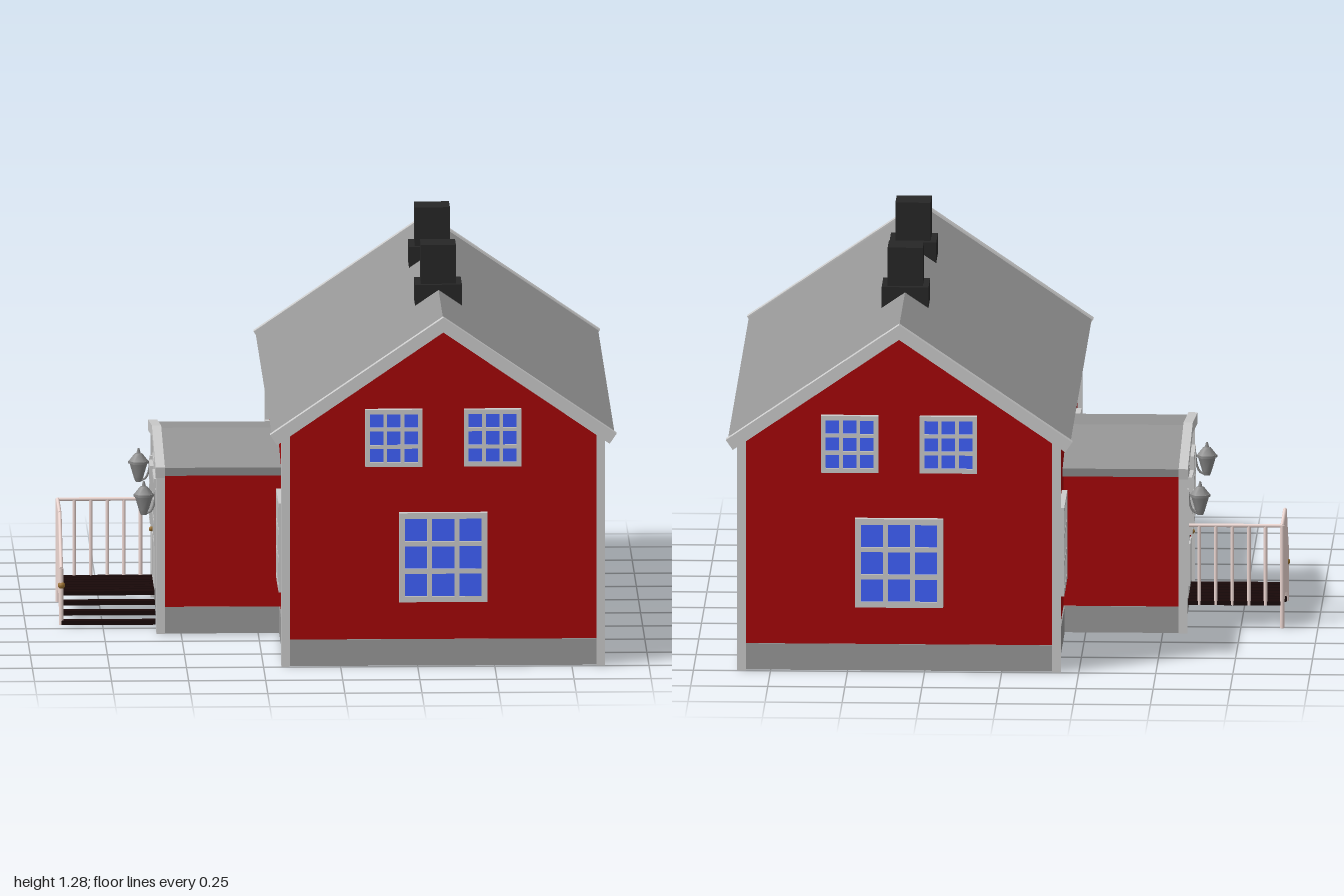
import * as THREE from 'three';

const mat = color => new THREE.MeshStandardMaterial({ color });
const trim = mat(0xcccccc), roofGrey = mat(0x969696), stone = mat(0x999999), red = mat(0xa60406);
const glass = mat(0x4062ff), soot = mat(0x262626), wood = mat(0x180808), railPaint = mat(0xf0dad5);
const brass = mat(0x9a7030), iron = mat(0x8c8c8c);

function add(parent, name, geometry, material, x = 0, y = 0, z = 0) {
  const m = new THREE.Mesh(geometry, material);
  m.name = name;
  m.position.set(x, y, z);
  parent.add(m);
  return m;
}

// box given by its min and max corners
function block(parent, name, material, x0, x1, y0, y1, z0, z1) {
  return add(parent, name, new THREE.BoxGeometry(x1 - x0, y1 - y0, z1 - z0), material,
    (x0 + x1) / 2, (y0 + y1) / 2, (z0 + z1) / 2);
}

// polygon in x/y, extruded from z0 to z1
function prism(parent, name, material, points, z0, z1, cx = 0) {
  const shape = new THREE.Shape(points.map(p => new THREE.Vector2(...p)));
  const geo = new THREE.ExtrudeGeometry(shape, { depth: z1 - z0, bevelEnabled: false });
  return add(parent, name, geo, material, cx, 0, z0);
}

// bent strip following both slopes of a gable
function chevron(parent, name, material, half, apex, eave, t, z0, z1, cx = 0) {
  const a = Math.atan2(apex - eave, half), s = t * Math.sin(a), c = t * Math.cos(a);
  prism(parent, name, material, [
    [-half, eave], [-half + s, eave - c], [0, apex - t / Math.cos(a)],
    [half - s, eave - c], [half, eave], [0, apex]], z0, z1, cx);
}

function gableWalls(parent, name, half, base, eave, apex, z0, z1, cx = 0) {
  prism(parent, name, red, [[-half, base], [half, base], [half, eave], [0, apex], [-half, eave]], z0, z1, cx);
}

// ring of four boards around a rectangle in x/z
function ring(parent, name, material, x0, x1, y0, y1, z0, z1, t) {
  for (const [a, b] of [[x0, x0 + t], [x1 - t, x1]]) block(parent, name, material, a, b, y0, y1, z0, z1);
  for (const [a, b] of [[z0, z0 + t], [z1 - t, z1]]) block(parent, name, material, x0 + t, x1 - t, y0, y1, a, b);
}

// plinth boards, red sill inside them and a raised floor
function plinth(parent, x0, x1, z0, z1) {
  const t = 0.012;
  ring(parent, 'foundation', stone, x0, x1, 0, 0.087, z0, z1, t);
  ring(parent, 'sill', red, x0 + t, x1 - t, 0.004, 0.06, z0 + t, z1 - t, 0.006);
  block(parent, 'floor', stone, x0 + t, x1 - t, 0.045, 0.06, z0 + t, z1 - t);
}

// round bar between two points
function bar(parent, name, a, b, r, material) {
  const p = new THREE.Vector3(...a), q = new THREE.Vector3(...b), d = q.clone().sub(p);
  const m = add(parent, name, new THREE.CylinderGeometry(r, r, d.length(), 8), material);
  m.position.copy(p).add(q).multiplyScalar(0.5);
  m.quaternion.setFromUnitVectors(new THREE.Vector3(0, 1, 0), d.normalize());
}

// glazed window facing local +z
function windowUnit(parent, w, h, x, y, z, ry = 0, cols = 3, rows = 3, edge = 0.019, gap = 0.016) {
  const g = new THREE.Group();
  g.name = 'window';
  const rect = (P, x0, x1, y0, y1) => new P([[x0, y0], [x1, y0], [x1, y1], [x0, y1]].map(p => new THREE.Vector2(...p)));
  const frame = rect(THREE.Shape, -w / 2, w / 2, -h / 2, h / 2);
  const pw = (w - 2 * edge - (cols - 1) * gap) / cols, ph = (h - 2 * edge - (rows - 1) * gap) / rows;
  for (let i = 0; i < cols; i++) for (let j = 0; j < rows; j++) {
    const px = -w / 2 + edge + i * (pw + gap), py = -h / 2 + edge + j * (ph + gap);
    frame.holes.push(rect(THREE.Path, px, px + pw, py, py + ph));
  }
  add(g, 'windowFrame', new THREE.ExtrudeGeometry(frame, { depth: 0.022, bevelEnabled: false }), trim);
  add(g, 'windowGlass', new THREE.BoxGeometry(w - edge, h - edge, 0.014), glass, 0, 0, 0.007);
  g.position.set(x, y, z);
  g.rotation.y = ry;
  parent.add(g);
}

function lantern(parent, x) {
  const g = new THREE.Group();
  g.name = 'lantern';
  const hex = (name, rt, rb, y0, y1) =>
    add(g, name, new THREE.CylinderGeometry(rt, rb, y1 - y0, 6), iron, 0, (y0 + y1) / 2, 0.62);
  hex('lanternFoot', 0.015, 0.01, 0.385, 0.398);
  hex('lanternBody', 0.029, 0.015, 0.398, 0.445);
  hex('lanternRim', 0.034, 0.034, 0.445, 0.453);
  hex('lanternCap', 0.012, 0.032, 0.453, 0.478);
  hex('lanternFinial', 0.003, 0.007, 0.478, 0.495);
  block(g, 'lanternPlate', trim, -0.01, 0.01, 0.29, 0.47, 0.565, 0.584);
  const arm = new THREE.QuadraticBezierCurve3(new THREE.Vector3(0, 0.46, 0.582),
    new THREE.Vector3(0, 0.38, 0.585), new THREE.Vector3(0, 0.392, 0.62));
  add(g, 'lanternArm', new THREE.TubeGeometry(arm, 8, 0.004, 6), iron);
  g.position.x = x;
  parent.add(g);
}

function mainHouse(root) {
  const g = new THREE.Group(), cx = 0.333;
  g.name = 'mainHouse';
  plinth(g, cx - 0.515, cx + 0.515, -0.981, 0.981);
  gableWalls(g, 'walls', 0.511, 0.05, 0.757, 1.107, -0.978, 0.978, cx);
  chevron(g, 'roof', roofGrey, 0.556, 1.14, 0.762, 0.022, -0.972, 0.972, cx);
  for (const s of [-1, 1]) {
    const z = s > 0 ? 0.97 : -1;
    chevron(g, 'bargeBoard', trim, 0.562, 1.147, 0.763, 0.04, z, z + 0.03, cx);
    for (const t of [-1, 1]) {
      const x = cx + t * 0.511, zc = s * 0.98;
      block(g, 'cornerBoard', trim, x - 0.014, x + 0.014, 0, 0.762, zc - 0.015, zc + 0.013);
    }
    // gable windows
    const ry = s > 0 ? 0 : Math.PI;
    windowUnit(g, 0.286, 0.293, cx, 0.358, s * 0.978, ry);
    for (const t of [-1, 1]) windowUnit(g, 0.186, 0.188, cx + t * 0.16, 0.751, s * 0.978, ry, 3, 3, 0.015, 0.012);
    // long side windows
    windowUnit(g, 0.288, 0.293, cx + 0.507, 0.357, s > 0 ? 0.482 : -0.5, Math.PI / 2);
    windowUnit(g, 0.288, 0.293, cx - 0.507, 0.357, s * 0.655, -Math.PI / 2);
    // chimneys
    const c = s > 0 ? 0.354 : -0.365;
    block(g, 'chimneyBase', soot, cx - 0.076, cx + 0.076, 1.088, 1.157, c - 0.076, c + 0.076);
    block(g, 'chimneyStack', soot, cx - 0.057, cx + 0.057, 1.15, 1.284, c - 0.057, c + 0.057);
  }
  windowUnit(g, 0.125, 0.1, cx - 0.507, 0.69, 0, -Math.PI / 2, 3, 2, 0.011, 0.009);
  root.add(g);
}

// Entrance wing, built with its front to local +z and turned to face -x
function entrance(root) {
  const g = new THREE.Group();
  g.name = 'entranceWing';
  plinth(g, -0.351, 0.351, 0.18, 0.57);
  gableWalls(g, 'wingWalls', 0.347, 0.05, 0.54, 0.585, 0.16, 0.567);
  chevron(g, 'wingRoof', roofGrey, 0.438, 0.616, 0.56, 0.027, 0.16, 0.56);
  chevron(g, 'wingBargeBoard', trim, 0.455, 0.624, 0.564, 0.035, 0.555, 0.585);
  for (const s of [-1, 1]) {
    block(g, 'wingCornerBoard', trim, s * 0.345 - 0.014, s * 0.345 + 0.014, 0, 0.545, 0.552, 0.58);
    lantern(g, s * 0.315);
  }
  windowUnit(g, 0.19, 0.22, 0.18, 0.385, 0.564, 0, 3, 3, 0.015, 0.012);

  // door with glazed top and two lower panels
  const dx = -0.12;
  block(g, 'doorFrame', trim, dx - 0.1, dx + 0.1, 0.085, 0.515, 0.56, 0.575);
  block(g, 'door', trim, dx - 0.085, dx + 0.085, 0.085, 0.5, 0.57, 0.578);
  windowUnit(g, 0.12, 0.19, dx, 0.385, 0.568, 0, 2, 3, 0.01, 0.008);
  for (const s of [-1, 1])
    block(g, 'doorPanel', trim, dx + s * 0.035 - 0.025, dx + s * 0.035 + 0.025, 0.12, 0.26, 0.575, 0.583);
  add(g, 'doorKnob', new THREE.SphereGeometry(0.008, 10, 8), brass, dx + 0.07, 0.275, 0.586);

  steps(g);
  g.rotation.y = -Math.PI / 2;
  root.add(g);
}

function steps(parent) {
  const g = new THREE.Group();
  g.name = 'steps';
  // seven landing planks, then three descending treads
  for (let i = 0; i < 10; i++) {
    const x = -0.262 + i * 0.0461, y = 0.088 - Math.max(0, i - 6) * 0.0245;
    block(g, 'plank', wood, x, x + 0.037, y - 0.0135, y, 0.578, 0.884);
  }

  // railing around the landing and down the stairs
  const path = [[-0.258, 0.338, 0.58], [-0.258, 0.338, 0.884], [0.005, 0.338, 0.884], [0.178, 0.185, 0.884]];
  const slope = (path[3][1] - path[2][1]) / (path[3][0] - path[2][0]);
  for (let i = 0; i < 3; i++) bar(g, 'handrail', path[i], path[i + 1], 0.006, railPaint);
  for (let i = 0; i < 6; i++) {
    const z = 0.615 + i * 0.0538, x = -0.258 + i * 0.0526;
    bar(g, 'baluster', [-0.258, 0.075, z], [-0.258, 0.338, z], 0.006, railPaint);
    bar(g, 'baluster', [x, 0.075, 0.884], [x, 0.338, 0.884], 0.006, railPaint);
  }
  for (const x of [0.062, 0.12])
    bar(g, 'stairBaluster', [x, 0.04, 0.884], [x, 0.338 + (x - 0.005) * slope, 0.884], 0.006, railPaint);
  bar(g, 'cornerPost', [-0.258, 0, 0.884], [-0.258, 0.34, 0.884], 0.007, railPaint);
  bar(g, 'endPost', [0.178, 0, 0.884], [0.178, 0.185, 0.884], 0.007, railPaint);
  add(g, 'brassBall', new THREE.SphereGeometry(0.012, 12, 8), brass, 0.178, 0.13, 0.883);
  parent.add(g);
}

export function createModel() {
  const root = new THREE.Group();
  root.name = 'house';
  mainHouse(root);
  entrance(root);
  return root;
}
